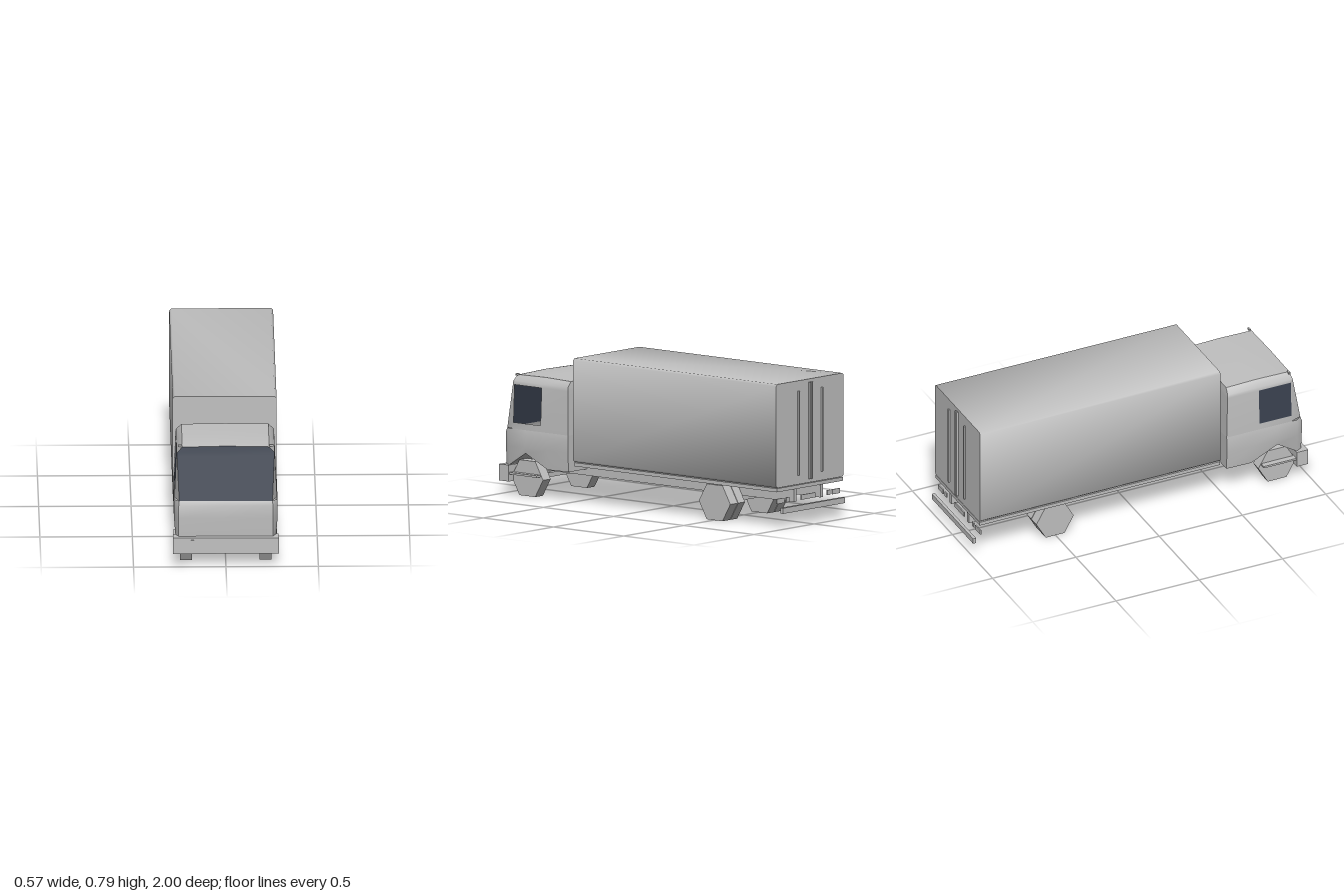
import * as THREE from 'three';
import { toCreasedNormals } from 'three/addons/utils/BufferGeometryUtils.js';

const grey = new THREE.MeshStandardMaterial({ color: 0xc0c0c0, side: THREE.DoubleSide });
grey.name = 'bodyGrey';
const navy = new THREE.MeshStandardMaterial({ color: 0x3a4250, side: THREE.DoubleSide });
navy.name = 'glassNavy';

export function createModel() {
  const truck = new THREE.Group();
  truck.name = 'boxTruck';

  const add = (name, geometry, material = grey) => {
    const mesh = new THREE.Mesh(geometry, material);
    mesh.name = name;
    truck.add(mesh);
    return mesh;
  };
  // Box given by its limits on each axis
  const box = (name, x0, x1, y0, y1, z0, z1) =>
    add(name, new THREE.BoxGeometry(x1 - x0, y1 - y0, z1 - z0))
      .position.set((x0 + x1) / 2, (y0 + y1) / 2, (z0 + z1) / 2);
  // Same box on both sides
  const pair = (name, x0, x1, ...rest) => {
    box(name + 'Left', x0, x1, ...rest);
    box(name + 'Right', -x1, -x0, ...rest);
  };

  // Outward-facing quad around the cab centre, for each given side
  const centre = new THREE.Vector3(0, 0.4, 0.74);
  const quad = (list, corners, sides = [1, -1]) => {
    for (const s of sides) {
      let p = corners.map(([x, y, z]) => new THREE.Vector3(s * x, y, z));
      const normal = p[2].clone().sub(p[0]).cross(p[3].clone().sub(p[1]));
      const middle = p[0].clone().add(p[1]).add(p[2]).add(p[3]).divideScalar(4).sub(centre);
      if (normal.dot(middle) < 0) p = p.reverse();
      for (const i of [0, 1, 2, 0, 2, 3]) list.push(p[i].x, p[i].y, p[i].z);
    }
  };
  const surface = (name, list, material) => {
    const g = new THREE.BufferGeometry();
    g.setAttribute('position', new THREE.Float32BufferAttribute(list, 3));
    add(name, toCreasedNormals(g, 0.7), material);
  };
  const cell = (a, b, i) => [a[i], a[i + 1], b[i + 1], b[i]];

  // Lower cab: half rings from the front centre round to the back centre
  const lower = [], floor = [];
  const archY = [0.165, 0.165, 0.165, 0.238, 0.163, 0.165, 0.165];
  const lowerRows = [
    [null, 0.255, 0.273, 0.97], [0.27, 0.255, 0.281, 0.975],
    [0.34, 0.255, 0.281, 0.975], [0.365, 0.252, 0.277, 0.967],
  ].map(([y, fx, w, zf]) =>
    [[0, zf], [fx, zf], [w, 0.935], [w, 0.82], [w, 0.663], [w, 0.513], [0, 0.513]]
      .map(([x, z], i) => [x, y ?? archY[i], z]));
  for (let r = 0; r < 3; r++)
    for (let i = 0; i < 6; i++) quad(lower, cell(lowerRows[r], lowerRows[r + 1], i));
  // Floor with wheel arches
  for (let i = 1; i < 5; i++) {
    const [a, b] = [lowerRows[0][i], lowerRows[0][i + 1]];
    quad(floor, [a, b, [0, b[1], b[2]], [0, a[1], a[2]]]);
  }
  surface('lowerCab', lower);
  surface('cabFloor', floor);

  // Upper cab: windscreen, open left window, glazed right window
  const upper = [], windscreen = [], sideGlass = [];
  const upperRows = [
    [0.365, 0.252, 0.277, 0.967, 0.513], [0.4, 0.254, 0.276, 0.96, 0.515],
    [0.605, 0.263, 0.267, 0.919, 0.523], [0.625, 0.264, 0.265, 0.915, 0.525],
  ].map(([y, fx, w, zf, zb]) =>
    [[0, y, zf], [fx, y, zf], [w, y, 0.903], [w, y, 0.711], [w, y, zb], [0, y, zb]]);
  for (let r = 0; r < 3; r++)
    for (let i = 0; i < 5; i++) {
      const c = cell(upperRows[r], upperRows[r + 1], i);
      if (i === 0) quad(windscreen, c);
      else if (r === 1 && i === 2) quad(sideGlass, c, [-1]);
      else quad(upper, c);
    }
  // Roof with chamfered edges and a slight crown
  const eaves = upperRows[3];
  const rim = [[0, 0.66, 0.91], [0.235, 0.655, 0.91], [0.235, 0.657, 0.895],
    [0.235, 0.66, 0.711], [0.235, 0.655, 0.53], [0, 0.658, 0.53]];
  for (let i = 0; i < 5; i++) quad(i ? upper : windscreen, cell(eaves, rim, i));
  const ridge = [0.66, 0.66, 0.662, 0.666, 0.658];
  for (let i = 1; i < 4; i++)
    quad(upper, [rim[i], rim[i + 1], [0, ridge[i + 1], rim[i + 1][2]], [0, ridge[i], rim[i][2]]]);
  surface('upperCab', upper);
  surface('windscreen', windscreen, navy);
  surface('rightWindow', sideGlass, navy);
  pair('roofMarker', 0.236, 0.259, 0.655, 0.665, 0.895, 0.905);

  // Cargo body with softly shaded chamfers
  const [w, y0, y1, c] = [0.281, 0.225, 0.792, 0.011];
  const profile = new THREE.Shape([
    [-w + c, y0], [w - c, y0], [w, y0 + c], [w, y1 - c],
    [w - c, y1], [-w + c, y1], [-w, y1 - c], [-w, y0 + c],
  ].map(([x, y]) => new THREE.Vector2(x, y)));
  const cargo = new THREE.ExtrudeGeometry(profile, { depth: 1.445, bevelEnabled: false });
  add('cargoBody', toCreasedNormals(cargo, 0.9)).position.z = -0.97;
  box('cargoBase', -0.275, 0.275, 0.202, 0.222, -0.97, 0.475);

  // Rear door bars
  pair('doorBar', 0.092, 0.102, 0.275, 0.735, -0.98, -0.968);
  pair('doorSeam', 0.003, 0.012, 0.245, 0.775, -0.982, -0.968);

  // Chassis
  pair('chassisRail', 0.098, 0.122, 0.13, 0.202, -0.96, 0.95);
  for (const [name, z] of [['frontAxle', 0.83], ['rearAxle', -0.503]])
    box(name, -0.19, 0.19, 0.085, 0.11, z - 0.012, z + 0.012);

  // Bumpers, lamps and steps
  box('frontBumper', -0.286, 0.286, 0.074, 0.164, 0.93, 0.998);
  pair('headlamp', 0.172, 0.273, 0.122, 0.152, 0.996, 1);
  pair('step', 0.235, 0.28, 0.113, 0.124, 0.735, 0.935);
  box('rearBumper', -0.257, 0.257, 0.085, 0.116, -1, -0.982);
  pair('tailLamp', 0.2, 0.262, 0.135, 0.162, -0.96, -0.953);
  pair('reverseLamp', 0.16, 0.182, 0.135, 0.162, -0.96, -0.953);
  box('rearPlate', -0.06, 0.06, 0.135, 0.162, -0.96, -0.953);

  // Six-sided wheels, single at the front and double at the rear
  const wheel = (name, x, z, width) => {
    const g = new THREE.CylinderGeometry(0.112, 0.112, width, 6).rotateZ(Math.PI / 2);
    const flat = toCreasedNormals(g, 0.5);
    for (const s of [1, -1])
      add(name + (s > 0 ? 'Left' : 'Right'), flat).position.set(s * x, 0.097, z);
  };
  wheel('frontWheel', 0.215, 0.83, 0.064);
  wheel('rearOuterWheel', 0.216, -0.503, 0.062);
  wheel('rearInnerWheel', 0.153, -0.503, 0.056);

  return truck;
}
